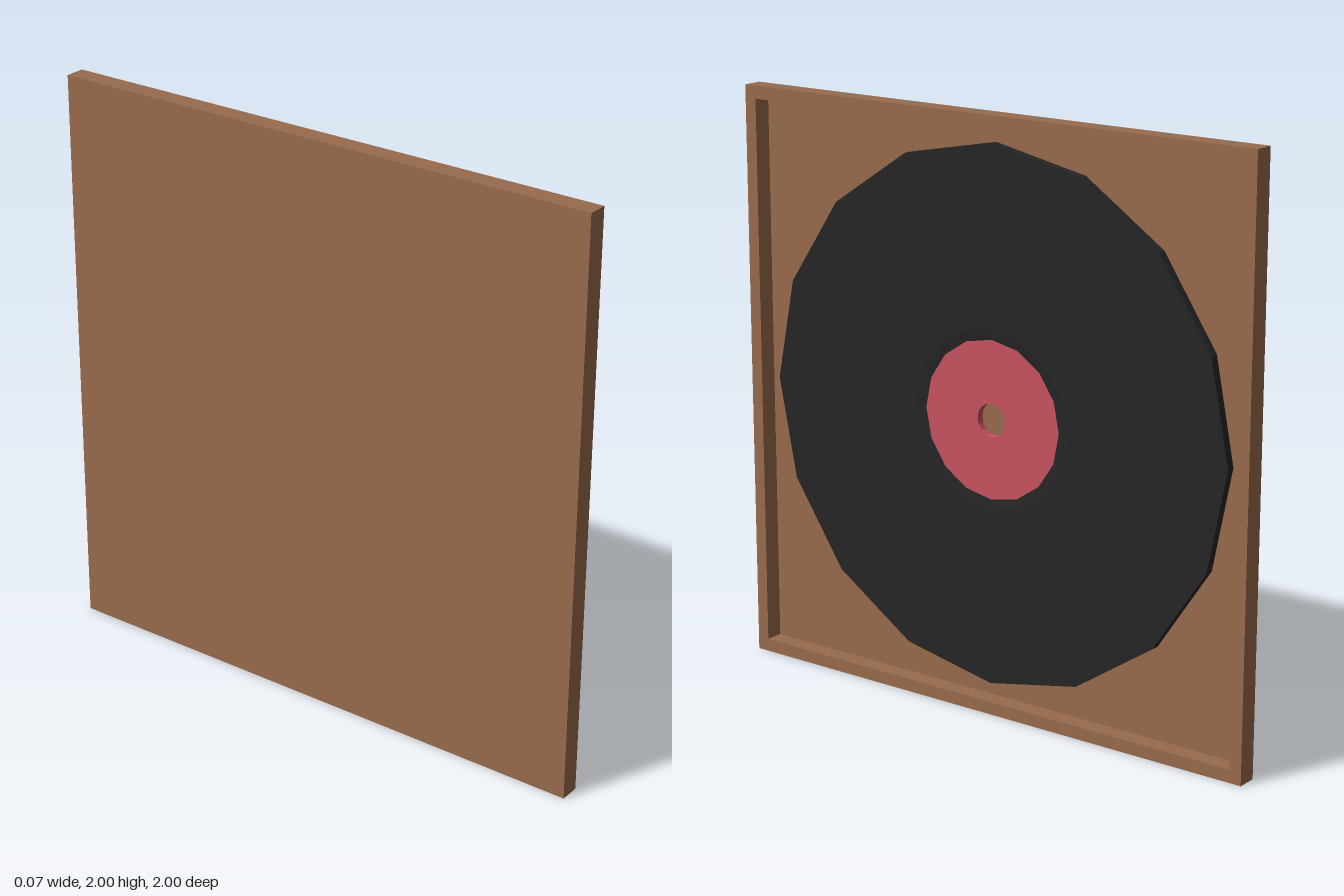
import * as THREE from 'three';

const SIDES = 16;
const HALF_DEPTH = 0.035;
const PANEL_X = -0.028; // front of the backing panel
const INNER = 0.956;    // half width of the frame opening

function material(color) {
  return new THREE.MeshStandardMaterial({ color, flatShading: true });
}

// Lathe a (radius, height) profile and turn its axis to face +x
function disc(name, profile, mat) {
  const geometry = new THREE.LatheGeometry(profile.map(([r, h]) => new THREE.Vector2(r, h)), SIDES);
  geometry.rotateZ(-Math.PI / 2);
  const mesh = new THREE.Mesh(geometry, mat);
  mesh.name = name;
  mesh.position.y = 1;
  return mesh;
}

function square(half, PathType) {
  return new PathType([[-half, -half], [half, -half], [half, half], [-half, half]]
    .map(([x, y]) => new THREE.Vector2(x, y)));
}

export function createModel() {
  const group = new THREE.Group();
  group.name = 'framedRecord';
  const wood = material(0x996b4d);
  const vinyl = material(0x262626);
  const pink = material(0xc95361);

  // Square wooden frame, open in the middle
  const outline = square(1, THREE.Shape);
  outline.holes.push(square(INNER, THREE.Path));
  const frameGeometry = new THREE.ExtrudeGeometry(outline, { depth: 2 * HALF_DEPTH, bevelEnabled: false });
  frameGeometry.translate(0, 0, -HALF_DEPTH).rotateY(Math.PI / 2);
  const frame = new THREE.Mesh(frameGeometry, wood);
  frame.name = 'frame';
  frame.position.y = 1;

  // Thin backing panel closing the frame
  const thickness = PANEL_X + HALF_DEPTH;
  const panel = new THREE.Mesh(new THREE.BoxGeometry(thickness, 2 * INNER, 2 * INNER), wood);
  panel.name = 'backPanel';
  panel.position.set(-HALF_DEPTH + thickness / 2, 1, 0);

  // Record with a shallow sloped step around the label
  const record = disc('record', [
    [0.905, PANEL_X], [0.905, 0.002], [0.305, 0.002], [0.268, -0.003],
  ], vinyl);

  // Label with the spindle hole through it
  const label = disc('label', [
    [0.268, -0.003], [0.056, -0.003], [0.056, PANEL_X],
  ], pink);

  group.add(frame, panel, record, label);
  return group;
}
